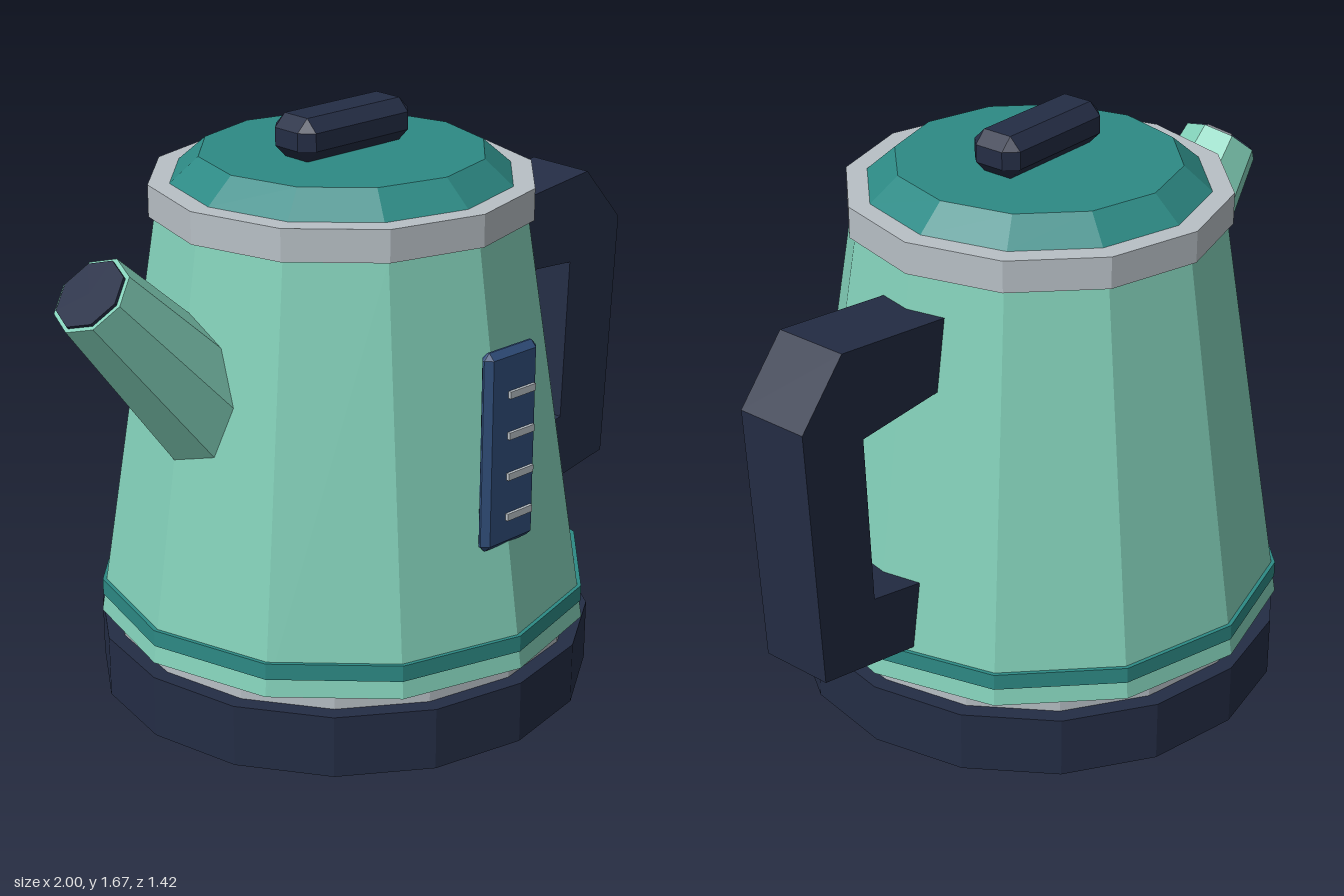
import * as THREE from 'three';
import { ConvexGeometry } from 'three/addons/geometries/ConvexGeometry.js';

const mat = (name, color) => {
  const m = new THREE.MeshStandardMaterial({ color, flatShading: true });
  m.name = name;
  return m;
};

export function createModel() {
  const mint = mat('mint enamel', 0x82cfb8);
  const teal = mat('teal', 0x2d8a85);
  const steel = mat('steel', 0xb8c0c6);
  const navy = mat('navy plastic', 0x242d45);
  const blue = mat('blue window', 0x2f4c78);
  const coral = mat('coral switch', 0xd4685c);

  const kettle = new THREE.Group();
  kettle.name = 'kettle';
  const AXIS = -0.045; // centre line of the pot

  const add = (name, geometry, material, x = 0, y = 0, z = 0) => {
    const mesh = new THREE.Mesh(geometry, material);
    mesh.name = name;
    mesh.position.set(x, y, z);
    kettle.add(mesh);
    return mesh;
  };

  // Faceted ring or drum between two heights
  const drum = (name, material, y0, y1, r0, r1 = r0, sides = 12) =>
    add(name, new THREE.CylinderGeometry(r1, r0, y1 - y0, sides), material, AXIS, (y0 + y1) / 2);

  // Box with every edge cut off at c
  const chamferBox = (w, h, d, c) => {
    const points = [];
    for (const sx of [-1, 1]) for (const sy of [-1, 1]) for (const sz of [-1, 1]) {
      const [x, y, z] = [w / 2, h / 2, d / 2];
      for (const p of [[x, y - c, z - c], [x - c, y, z - c], [x - c, y - c, z]])
        points.push(new THREE.Vector3(p[0] * sx, p[1] * sy, p[2] * sz));
    }
    return new ConvexGeometry(points);
  };

  // Stacked pot
  drum('base', navy, 0, 0.18, 0.712, 0.712, 16);
  drum('baseCollar', steel, 0.18, 0.225, 0.665, 0.665, 16);
  drum('body', mint, 0.225, 1.39, 0.71, 0.525);
  drum('bodyBand', teal, 0.275, 0.322, 0.706);
  drum('rim', steel, 1.39, 1.48, 0.54);
  drum('lid', teal, 1.48, 1.55, 0.48, 0.4);
  add('lidKnob', chamferBox(0.41, 0.12, 0.16, 0.035), navy, AXIS, 1.61, 0);

  // Tapered spout with a dark mouth plate
  const tip = new THREE.Vector3(-0.913, 1.327, 0);
  const out = new THREE.Vector3(-0.68, 0.733, 0).normalize();
  const turn = new THREE.Quaternion().setFromUnitVectors(new THREE.Vector3(0, 1, 0), out);
  const spout = add('spout', new THREE.CylinderGeometry(0.116, 0.178, 0.6, 8), mint);
  spout.position.copy(tip).addScaledVector(out, -0.3);
  spout.quaternion.copy(turn);
  const mouth = add('spoutMouth', new THREE.CylinderGeometry(0.104, 0.104, 0.009, 8), navy);
  mouth.position.copy(tip).addScaledVector(out, 0.004);
  mouth.quaternion.copy(turn);

  // Angular handle, both ends sunk into the body
  const outline = [
    [0.42, 1.28], [0.85, 1.33], [1.0, 1.16], [0.96, 0.4], [0.56, 0.325],
    [0.56, 0.523], [0.765, 0.565], [0.785, 1.06], [0.42, 1.086],
  ].map(([x, y]) => new THREE.Vector2(x, y));
  add('handle', new THREE.ExtrudeGeometry(new THREE.Shape(outline), { depth: 0.216, bevelEnabled: false }),
    navy, 0, 0, -0.108);

  // Water window with level marks
  add('waterWindow', chamferBox(0.195, 0.565, 0.042, 0.018), blue, -0.048, 0.863, 0.641);
  [0.67, 0.787, 0.904, 1.02].forEach((y, i) =>
    add(`levelMark${i + 1}`, new THREE.BoxGeometry(0.095, 0.02, 0.009), steel, -0.022, y, 0.666));

  // Power switch beside the lower end of the handle
  add('powerSwitch', chamferBox(0.135, 0.094, 0.16, 0.025), coral, 0.663, 0.332, 0.1);

  return kettle;
}
